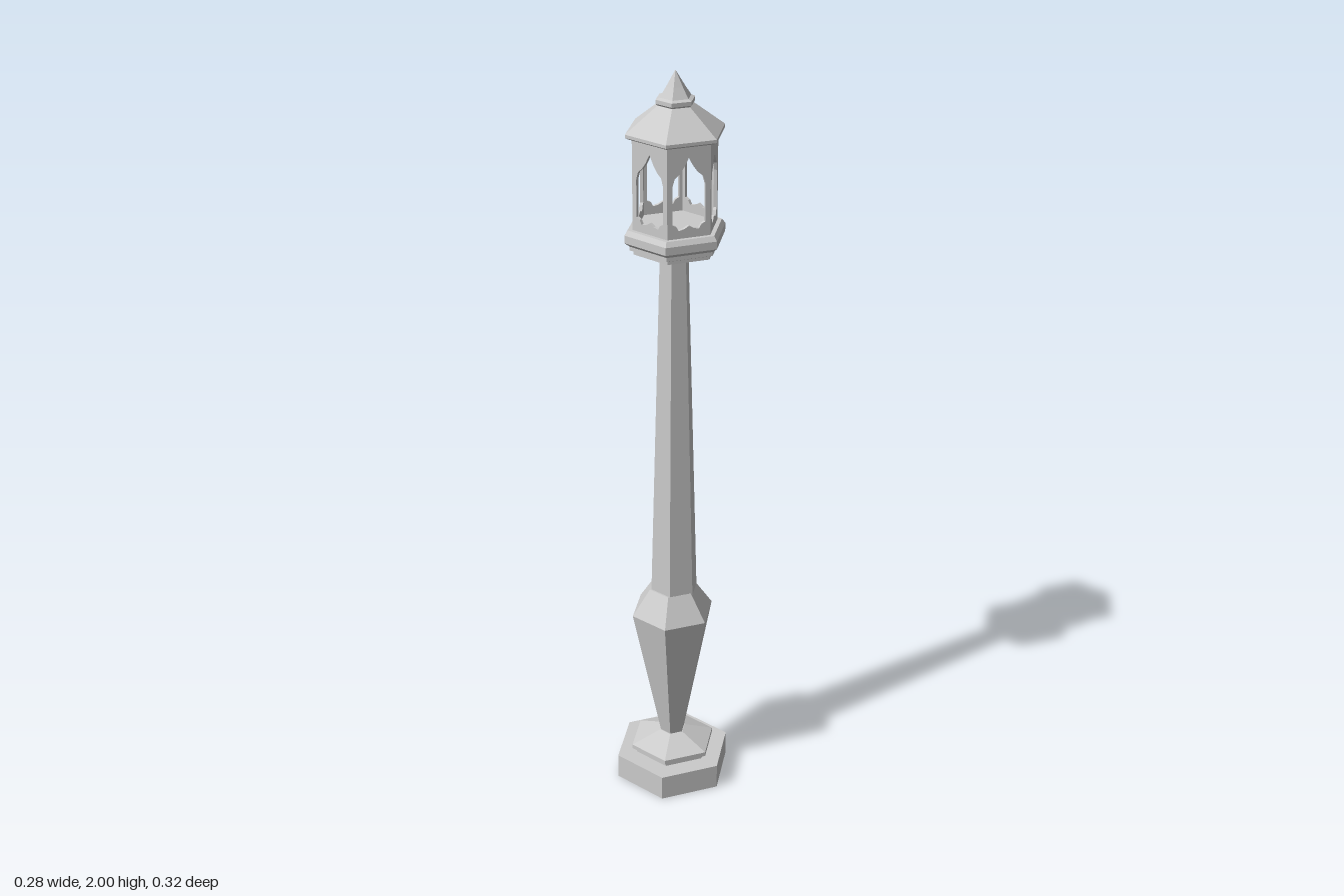
import * as THREE from 'three';

const mat = new THREE.MeshStandardMaterial({ color: 0xcccccc, flatShading: true, side: THREE.DoubleSide });

// Six-sided turned part from [corner radius, height] pairs, bottom to top
function hexTurned(name, profile) {
  const pts = profile.map(([r, y]) => new THREE.Vector2(r, y));
  const mesh = new THREE.Mesh(new THREE.LatheGeometry(pts, 6), mat);
  mesh.name = name;
  return mesh;
}

// One lantern wall with an ogee window cut through it
function wallGeometry(radius, y0, y1, depth) {
  const h = radius / 2;
  const wall = new THREE.Shape();
  wall.moveTo(-h, y0);
  wall.lineTo(h, y0);
  wall.lineTo(h, y1);
  wall.lineTo(-h, y1);
  wall.closePath();

  // Right half of the opening, bottom centre to apex
  const half = [
    [0, 1.644], [0.012, 1.637], [0.026, 1.634], [0.032, 1.645], [0.042, 1.65],
    [0.042, 1.745], [0.036, 1.765], [0.024, 1.775], [0.012, 1.792], [0, 1.815],
  ];
  const left = half.slice(1, -1).reverse().map(([x, y]) => [-x, y]);
  const outline = [...half, ...left].map(([x, y]) => new THREE.Vector2(x, y));
  wall.holes.push(new THREE.Path(outline.reverse()));

  const geo = new THREE.ExtrudeGeometry(wall, { depth, bevelEnabled: false });
  geo.translate(0, 0, radius * Math.cos(Math.PI / 6) - depth);
  return geo;
}

export function createModel() {
  const model = new THREE.Group();
  model.name = 'lampPost';

  // Foot and post
  model.add(
    hexTurned('basePlinth', [[0, 0], [0.16, 0], [0.16, 0.07], [0, 0.07]]),
    hexTurned('baseCap', [[0.105, 0.07], [0.105, 0.082], [0.118, 0.084], [0.118, 0.096], [0.036, 0.128], [0, 0.128]]),
    hexTurned('bulb', [[0.034, 0.115], [0.034, 0.128], [0.113, 0.515], [0.064, 0.588], [0, 0.588]]),
  );
  const shaft = hexTurned('shaft', [[0.064, 0.58], [0.064, 0.588], [0.037, 1.56]]);
  shaft.position.set(0.004, 0, 0.002);
  model.add(shaft);

  // Lantern sits slightly off the post axis
  const lantern = new THREE.Group();
  lantern.name = 'lantern';
  lantern.position.set(0.006, 0, 0.004);
  model.add(lantern);

  lantern.add(hexTurned('lanternTray', [
    [0, 1.55], [0.108, 1.55], [0.108, 1.558], [0.118, 1.562], [0.118, 1.572],
    [0.131, 1.582], [0.131, 1.602], [0.122, 1.614], [0, 1.614],
  ]));

  const geo = wallGeometry(0.11, 1.61, 1.848, 0.008);
  for (let i = 0; i < 6; i++) {
    const wall = new THREE.Mesh(geo, mat);
    wall.name = 'windowWall' + (i + 1);
    wall.rotation.y = Math.PI / 6 + (i * Math.PI) / 3;
    lantern.add(wall);
  }

  lantern.add(
    hexTurned('roof', [[0, 1.842], [0.118, 1.842], [0.127, 1.847], [0.127, 1.855], [0.042, 1.92], [0, 1.92]]),
    hexTurned('finial', [[0, 1.915], [0.042, 1.915], [0.05, 1.922], [0.05, 1.932], [0.04, 1.936], [0.023, 1.962], [0, 2]]),
  );
  return model;
}
